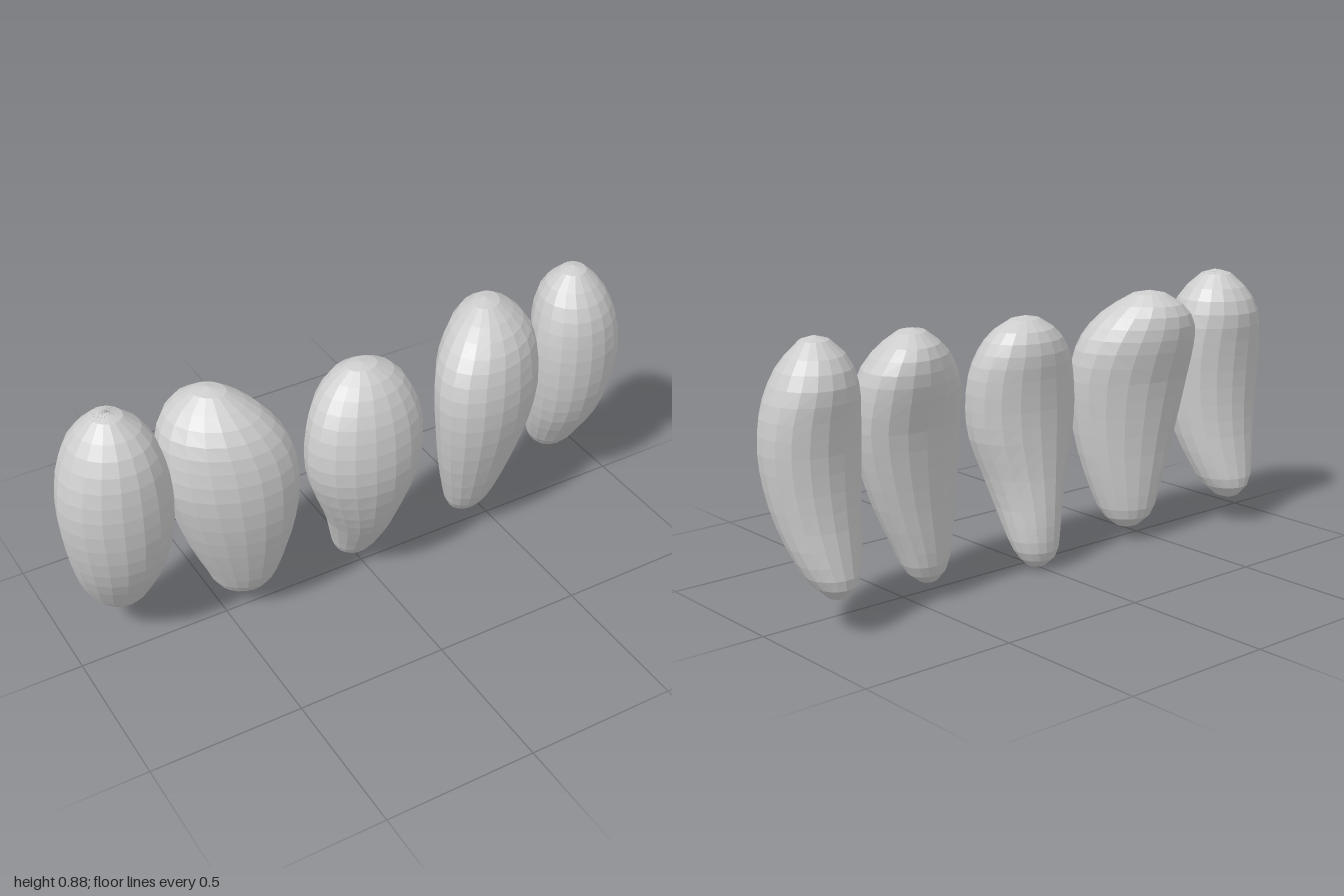
import * as THREE from 'three';

const SIDES = 18;
const STEPS = 2;

// Cross-sections from bottom tip to top tip: [y, xMin, xMax, zBack, zFront]
const OUTER = [
  [0.105, 0.82, 0.82, -0.13, -0.13],
  [0.15, 0.755, 0.89, -0.187, -0.04],
  [0.22, 0.722, 0.93, -0.183, 0.012],
  [0.32, 0.694, 0.962, -0.165, 0.07],
  [0.43, 0.677, 0.985, -0.155, 0.104],
  [0.54, 0.67, 0.997, -0.155, 0.116],
  [0.64, 0.674, 0.99, -0.164, 0.113],
  [0.73, 0.692, 0.962, -0.172, 0.095],
  [0.81, 0.732, 0.912, -0.135, 0.045],
  [0.865, 0.825, 0.825, -0.045, -0.045],
];
const INNER = [
  [0.04, 0.42, 0.42, -0.035, -0.035],
  [0.08, 0.355, 0.5, -0.09, 0.035],
  [0.16, 0.322, 0.54, -0.105, 0.082],
  [0.3, 0.286, 0.6, -0.11, 0.127],
  [0.43, 0.267, 0.642, -0.12, 0.155],
  [0.55, 0.26, 0.668, -0.135, 0.163],
  [0.65, 0.275, 0.668, -0.16, 0.15],
  [0.73, 0.318, 0.65, -0.172, 0.118],
  [0.8, 0.39, 0.59, -0.15, 0.05],
  [0.845, 0.49, 0.49, -0.055, -0.055],
];
const MIDDLE = [
  [0, 0.005, 0.005, -0.055, -0.055],
  [0.035, -0.06, 0.062, -0.108, 0],
  [0.1, -0.085, 0.09, -0.12, 0.045],
  [0.2, -0.115, 0.105, -0.113, 0.11],
  [0.3, -0.158, 0.13, -0.1, 0.155],
  [0.42, -0.205, 0.168, -0.09, 0.187],
  [0.52, -0.22, 0.18, -0.086, 0.192],
  [0.62, -0.206, 0.176, -0.09, 0.177],
  [0.7, -0.17, 0.152, -0.095, 0.147],
  [0.77, -0.105, 0.1, -0.07, 0.095],
  [0.81, -0.01, -0.01, 0.015, 0.015],
];

// Smoothly blends the rows; the end spans curve in y so the tips are round
function sampleRows(rows) {
  const last = rows.length - 1;
  const row = (i) => rows[Math.min(last, Math.max(0, i))];
  const out = [];
  for (let i = 0; i < last; i++) {
    for (let s = 0; s < STEPS; s++) {
      const f = s / STEPS;
      const [a, b, c, d] = [row(i - 1), row(i), row(i + 1), row(i + 2)];
      const r = b.map((p, k) => {
        if (i === 0 || i === last - 1) return p + (c[k] - p) * f;
        const m0 = (c[k] - a[k]) / 2, m1 = (d[k] - p) / 2;
        const f2 = f * f, f3 = f2 * f;
        return (2 * f3 - 3 * f2 + 1) * p + (f3 - 2 * f2 + f) * m0
          + (3 * f2 - 2 * f3) * c[k] + (f3 - f2) * m1;
      });
      if (i === 0) r[0] = b[0] + (c[0] - b[0]) * f * f;
      if (i === last - 1) r[0] = c[0] + (b[0] - c[0]) * (1 - f) * (1 - f);
      out.push(r);
    }
  }
  out.push(rows[last]);
  return out;
}

// Bean lobe: elliptical rings joined into a closed skin, skewed in plan by skew
function lobeGeometry(rows, mirror, skew) {
  const rings = sampleRows(rows);
  const pos = [], index = [];
  for (const [y, x0, x1, z0, z1] of rings) {
    const cx = (x0 + x1) / 2, rx = (x1 - x0) / 2;
    const cz = (z0 + z1) / 2, rz = (z1 - z0) / 2;
    for (let j = 0; j < SIDES; j++) {
      const a = (j / SIDES) * Math.PI * 2;
      const c = Math.cos(a), s = Math.sin(a);
      // the skewed ellipse keeps its full width and depth
      const depth = Math.sqrt(1 - skew * skew) * s + skew * c;
      pos.push(mirror * (cx + rx * c), y, cz + rz * depth);
    }
  }
  for (let i = 0; i < rings.length - 1; i++) {
    for (let j = 0; j < SIDES; j++) {
      const k = (j + 1) % SIDES;
      const a = i * SIDES + j, b = i * SIDES + k;
      const c = a + SIDES, d = b + SIDES;
      const tris = [];
      if (i > 0) tris.push([a, c, b]);
      if (i < rings.length - 2) tris.push([b, c, d]);
      else tris[0] = [a, c, b];
      for (const [p, q, r] of tris) index.push(...(mirror > 0 ? [p, q, r] : [p, r, q]));
    }
  }
  const geo = new THREE.BufferGeometry();
  geo.setAttribute('position', new THREE.Float32BufferAttribute(pos, 3));
  geo.setIndex(index);
  geo.computeVertexNormals();
  return geo;
}

export function createModel() {
  const group = new THREE.Group();
  group.name = 'lobeRow';
  const material = new THREE.MeshStandardMaterial({ color: 0xcccccc, flatShading: true });
  const add = (name, rows, mirror, skew) => {
    const mesh = new THREE.Mesh(lobeGeometry(rows, mirror, skew), material);
    mesh.name = name;
    group.add(mesh);
  };

  // The right outer lobe is slightly larger than the left one
  const largeOuter = OUTER.map(([y, x0, x1, z0, z1]) => [
    0.09 + (y - 0.105) * 1.04, 1 - (0.997 - x0) * 1.06, 1 - (0.997 - x1) * 1.06, z0 - 0.005, z1 + 0.002,
  ]);

  add('leftOuterLobe', OUTER, 1, -0.1);
  add('leftInnerLobe', INNER, 1, -0.25);
  add('middleLobe', MIDDLE, 1, 0);
  add('rightInnerLobe', INNER, -1, -0.25);
  add('rightOuterLobe', largeOuter, -1, -0.1);
  return group;
}
